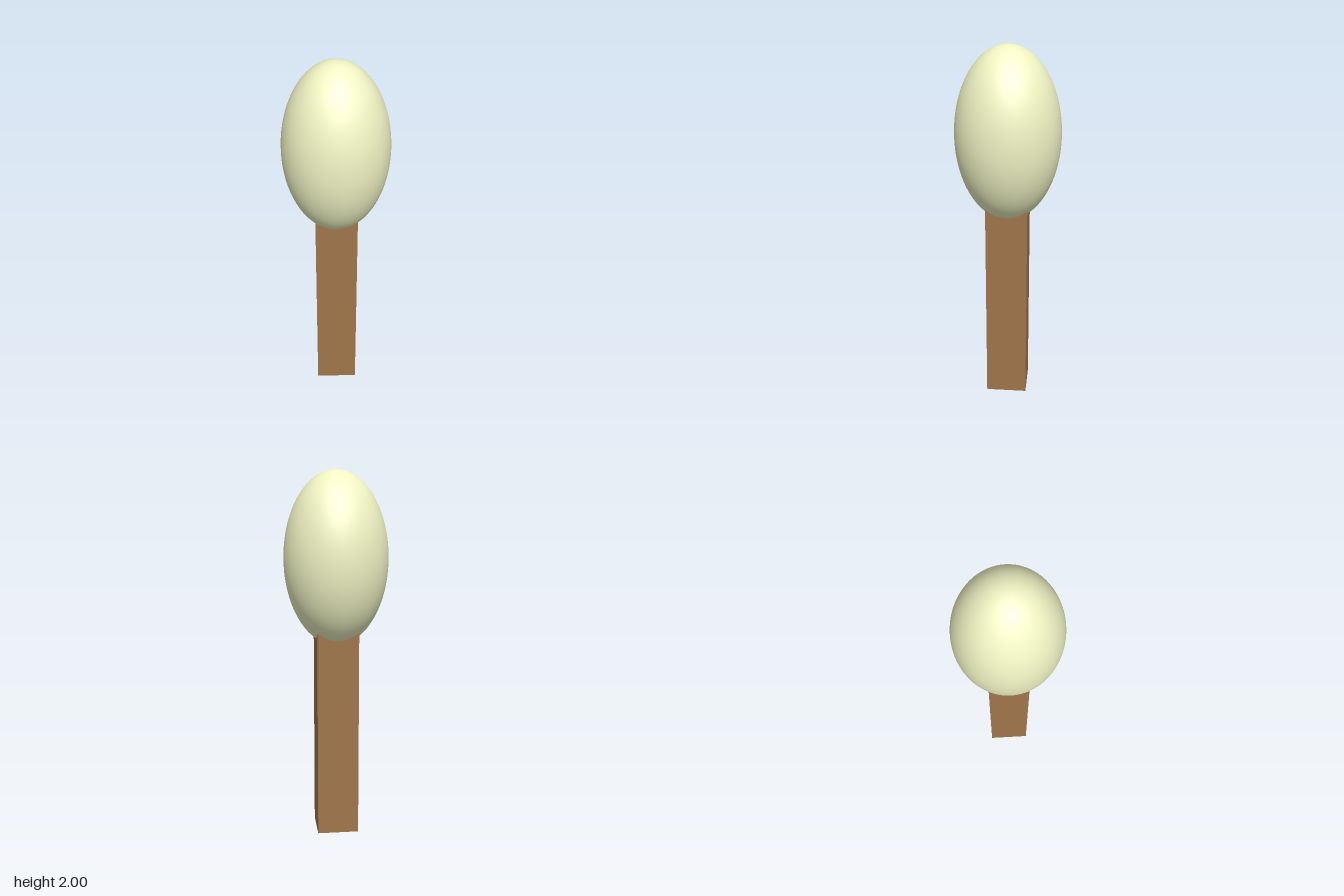
import * as THREE from 'three';

export function createModel() {
  const group = new THREE.Group();
  const add = (name, geometry, color, y) => {
    const mesh = new THREE.Mesh(geometry, new THREE.MeshStandardMaterial({ color }));
    mesh.name = name;
    mesh.position.y = y;
    group.add(mesh);
  };

  // Square stick, its top end buried in the head
  const stickHeight = 1.2;
  add('stick', new THREE.BoxGeometry(0.226, stickHeight, 0.226), 0xa0764a, stickHeight / 2);

  // Smooth ellipsoid head
  const headRadius = 0.283, headHalfHeight = 0.471;
  const head = new THREE.SphereGeometry(1, 64, 48).scale(headRadius, headHalfHeight, headRadius);
  add('head', head, 0xf0f4c3, 2 - headHalfHeight);

  return group;
}
